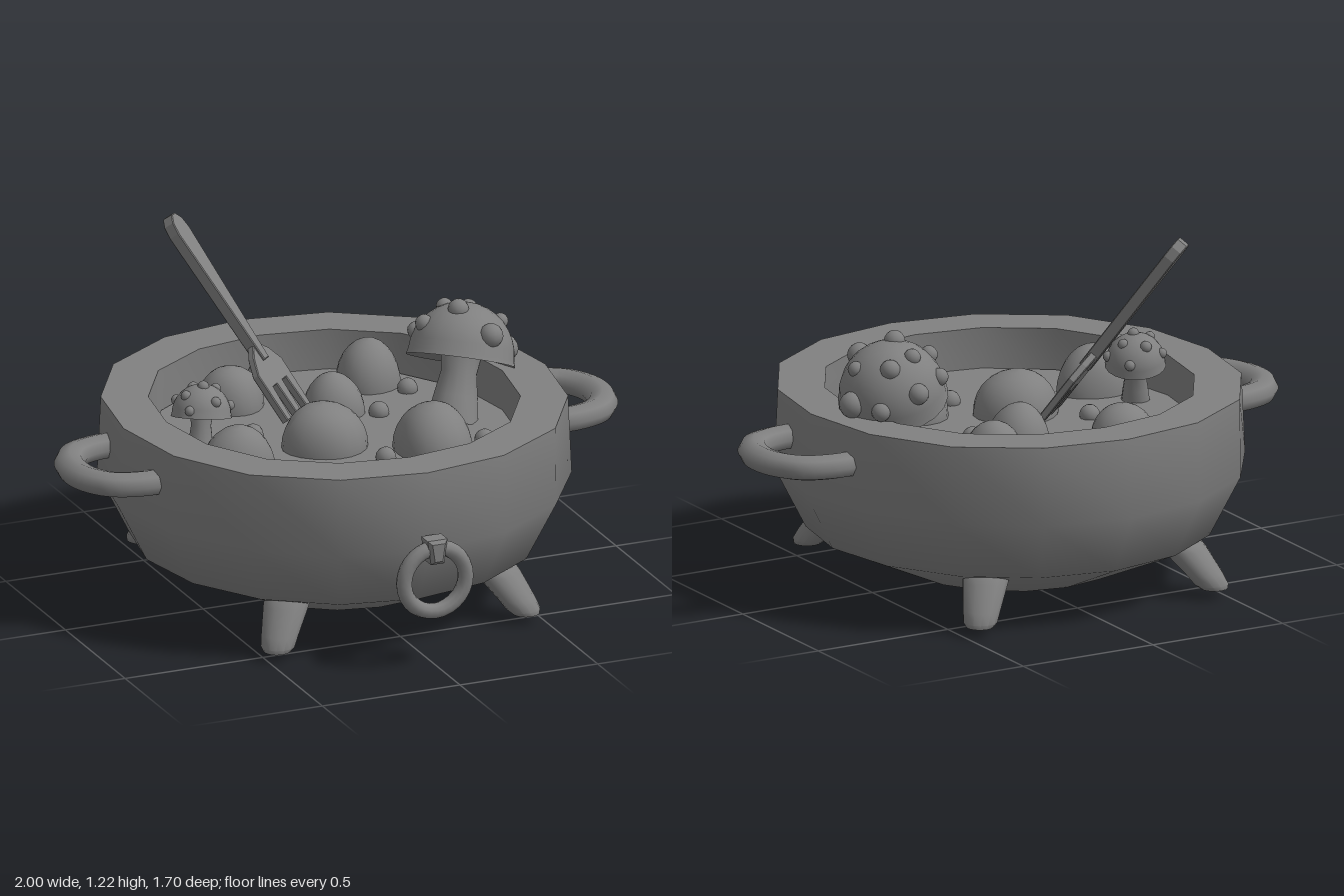
import * as THREE from 'three';
import { toCreasedNormals } from 'three/addons/utils/BufferGeometryUtils.js';

const mat = new THREE.MeshStandardMaterial({ color: 0x808080 });
const V = (x, y, z) => new THREE.Vector3(x, y, z);
const UP = V(0, 1, 0);

function add(parent, name, geometry, x = 0, y = 0, z = 0) {
  const mesh = new THREE.Mesh(geometry, mat);
  mesh.name = name;
  mesh.position.set(x, y, z);
  parent.add(mesh);
  return mesh;
}

function lathe(profile, sides) {
  return new THREE.LatheGeometry(profile.map(([r, y]) => new THREE.Vector2(r, y)), sides);
}

// Pot shell whose upper part is slightly squared off on the diagonals
function potGeometry() {
  const g = lathe([[0, 0], [0.37, 0.05], [0.682, 0.19], [0.788, 0.4],
    [0.766, 0.67], [0.61, 0.67], [0.61, 0.5]], 16);
  const p = g.attributes.position;
  for (let i = 0; i < p.count; i++) {
    if (p.getY(i) < 0.45) continue;
    const k = 1 + 0.025 * Math.sin(2 * Math.atan2(p.getX(i), p.getZ(i))) ** 2;
    p.setXYZ(i, p.getX(i) * k, p.getY(i), p.getZ(i) * k);
  }
  return toCreasedNormals(g, 1.0);
}

// Slightly uneven ball for the vegetables
function lump(r, height, seed) {
  const g = new THREE.SphereGeometry(1, 20, 14);
  const p = g.attributes.position;
  for (let i = 0; i < p.count; i++) {
    const v = V(p.getX(i), p.getY(i), p.getZ(i));
    const k = 1 + 0.06 * Math.sin(2.3 * v.x + seed) + 0.06 * Math.sin(2.7 * v.z + seed * 2);
    p.setXYZ(i, v.x * k * r, v.y * height, v.z * k * r);
  }
  g.computeVertexNormals();
  return g;
}

// Slanted tapering leg with a rounded toe and a flat foot
function legGeometry() {
  const g = lathe([[0, -0.1], [0.046, -0.1], [0.058, -0.085], [0.064, -0.05], [0.078, 0.03], [0.082, 0.08], [0.06, 0.1], [0, 0.1]], 14);
  const p = g.attributes.position;
  for (let i = 0; i < p.count; i++) {
    const t = 0.5 - p.getY(i) / 0.2; // 0 at the top, 1 at the foot
    p.setX(i, p.getX(i) + 0.18 * t * (1.25 - 0.25 * t));
  }
  return toCreasedNormals(g, 0.8);
}

// Mushroom cap and stem lean along an axis; spots sit on the cap
function mushroom(parent, name, [x, y, z], r, axis, stemLength, spots) {
  const group = new THREE.Group();
  group.name = name;
  group.position.set(x, y, z);
  parent.add(group);
  const lean = new THREE.Group();
  lean.name = name + 'Lean';
  lean.quaternion.setFromUnitVectors(UP, axis.clone().normalize());
  group.add(lean);
  const cap = [[0, 0.12 * r], [0.5 * r, 0.08 * r], [0.88 * r, -0.06 * r], [1.03 * r, -0.1 * r]];
  for (let i = 0; i <= 8; i++) {
    const a = (i / 8) * Math.PI / 2;
    cap.push([i === 8 ? 0 : r * Math.cos(a), r * Math.sin(a)]);
  }
  add(lean, 'mushroomCap', toCreasedNormals(lathe(cap, 20), 0.9));
  const stem = [[0.5 * r, -stemLength], [0.42 * r, -0.6 * stemLength], [0.34 * r, -0.25 * stemLength], [0.4 * r, 0.1 * r]];
  add(lean, 'mushroomStem', toCreasedNormals(lathe(stem, 14), 1.2));
  for (const [sx, sy, sz, size] of spots) {
    const spot = add(group, 'mushroomSpot', new THREE.SphereGeometry(size * r, 12, 8));
    spot.position.copy(V(sx, sy, sz).setLength(r * 0.97));
  }
}

// Flat bevelled piece centred on its thickness
function slab(points, depth, bevel) {
  const shape = new THREE.Shape(points.map(([x, y]) => new THREE.Vector2(x, y)));
  const g = new THREE.ExtrudeGeometry(shape, {
    depth, bevelEnabled: true, bevelThickness: bevel, bevelSize: bevel, bevelOffset: -bevel, bevelSegments: 1,
  });
  return g.translate(0, 0, -depth / 2);
}

export function createModel() {
  const model = new THREE.Group();
  model.name = 'stewPot';

  // Pot: outer wall, flat rim and inner wall
  add(model, 'pot', potGeometry(), -0.006, 0, -0.04).scale.z = 1.03;

  // Stew surface
  add(model, 'stewSurface', new THREE.CircleGeometry(0.615, 16).rotateX(-Math.PI / 2), -0.006, 0.53, -0.04).scale.z = 1.03;

  // Side handles
  for (const side of [-1, 1]) {
    const path = new THREE.CatmullRomCurve3([[0.7, -0.19], [0.79, -0.188], [0.88, -0.155], [0.933, -0.08],
      [0.947, 0], [0.933, 0.08], [0.88, 0.155], [0.79, 0.188], [0.7, 0.19]].map(([x, z]) => V(side * x, 0, z)));
    const handle = add(model, side < 0 ? 'rightHandle' : 'leftHandle',
      new THREE.TubeGeometry(path, 28, 0.053, 8), 0, 0.54, -0.04);
    handle.scale.y = 0.82;
  }

  // Four legs splayed outward
  const leg = legGeometry();
  for (const sx of [-1, 1]) for (const sz of [-1, 1]) {
    const mesh = add(model, (sz > 0 ? 'front' : 'back') + (sx > 0 ? 'Left' : 'Right') + 'Leg',
      leg, -0.01 + sx * 0.335, 0.13, -0.04 + sz * 0.435);
    mesh.rotation.y = Math.atan2(-sz * 0.76, sx * 0.65);
  }

  // Front ring and its clasp
  add(model, 'frontRing', new THREE.TorusGeometry(0.112, 0.027, 10, 28), -0.01, 0.313, 0.812);
  const clasp = slab([[-0.024, 0.375], [0.024, 0.375], [0.036, 0.46], [-0.036, 0.46]], 0.055, 0.012);
  add(model, 'ringClasp', clasp, -0.01, 0, 0.808);

  // Vegetables: x, z, radius, height above the stew
  const vegetables = [[-0.08, 0.03, 0.143, 0.15], [0.25, 0.21, 0.14, 0.165], [-0.43, 0.14, 0.12, 0.16],
    [0.08, -0.26, 0.105, 0.135], [-0.21, -0.44, 0.113, 0.135], [0.3, -0.46, 0.112, 0.155], [-0.02, -0.57, 0.07, 0.1]];
  vegetables.forEach(([x, z, r, h], i) => add(model, 'vegetable', lump(r, h, i * 1.7 + 0.6), x, 0.53, z));

  // Small bubbles
  for (const [x, z] of [[0.21, -0.165], [-0.26, -0.135], [0.06, 0.24], [0.43, 0.215], [0.385, -0.33]])
    add(model, 'bubble', new THREE.SphereGeometry(0.035, 12, 8), x, 0.54, z);

  // Mushrooms
  mushroom(model, 'largeMushroom', [0.483, 0.72, -0.105], 0.18, V(0.28, 0.9, -0.32), 0.23, [
    [-0.02, 0.19, 0.02, 0.2], [0.05, 0.1, 0.12, 0.23], [-0.12, 0.12, -0.03, 0.17], [-0.02, 0.15, -0.1, 0.16],
    [0.08, 0.13, -0.12, 0.19], [0.18, -0.01, -0.03, 0.25], [0.14, 0.1, 0, 0.15], [0.13, -0.02, -0.14, 0.18],
    [0, 0.04, -0.18, 0.2], [-0.12, 0.07, -0.12, 0.17]]);
  mushroom(model, 'smallMushroom', [-0.48, 0.672, -0.06], 0.1, V(0.13, 0.95, -0.22), 0.16, [
    [0.05, 1, 0.05, 0.2], [-0.6, 0.75, 0.1, 0.18], [0.6, 0.75, -0.2, 0.18], [0, 0.7, -0.7, 0.2],
    [0.2, 0.6, 0.7, 0.18], [0.9, 0.25, 0.25, 0.18], [-0.7, 0.4, -0.7, 0.18], [0.7, 0.15, -0.8, 0.18],
    [-0.7, 0.4, 0.6, 0.17]]);

  // Fork: a tapered handle and a flat head with three tines
  const fork = new THREE.Group();
  fork.name = 'fork';
  const along = V(-0.21, 0.42, -0.23).normalize();
  const across = V(0.74, 0, -0.676).normalize();
  const basis = new THREE.Matrix4().makeBasis(across, along, across.clone().cross(along));
  fork.quaternion.setFromRotationMatrix(basis);
  fork.position.set(-0.197, 0.79, -0.27);
  model.add(fork);
  add(fork, 'forkHandle', slab([[-0.017, -0.05], [0.017, -0.05], [0.042, 0.46], [0.034, 0.5], [0.012, 0.525],
    [-0.012, 0.525], [-0.034, 0.5], [-0.042, 0.46]], 0.036, 0.003));
  add(fork, 'forkHead', slab([[-0.02, 0.01], [-0.06, -0.025], [-0.095, -0.08], [-0.092, -0.26], [-0.062, -0.26],
    [-0.052, -0.14], [-0.022, -0.14], [-0.016, -0.26], [0.016, -0.26], [0.022, -0.14], [0.052, -0.14],
    [0.062, -0.26], [0.092, -0.26], [0.095, -0.08], [0.06, -0.025], [0.02, 0.01]], 0.02, 0.003));

  return model;
}
